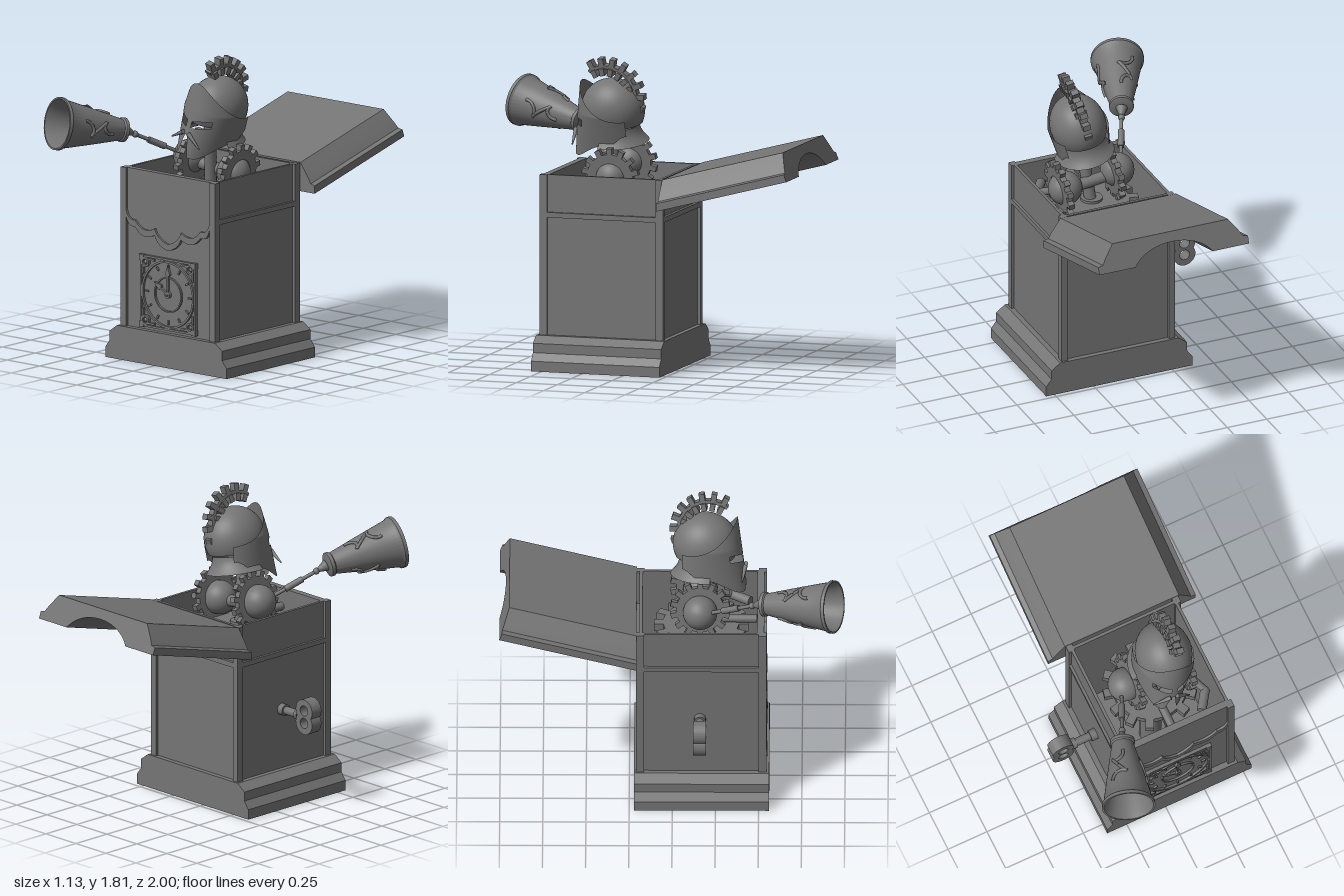
import * as THREE from 'three';
import { toCreasedNormals } from 'three/addons/utils/BufferGeometryUtils.js';

const mat = new THREE.MeshStandardMaterial({ color: 0x757575 });
const thin = new THREE.MeshStandardMaterial({ color: 0x757575, side: THREE.DoubleSide });
const V = (x, y, z) => new THREE.Vector3(x, y, z);
const CX = 0.088, CZ = 0.167; // centre of the box

function add(parent, name, geo, x = 0, y = 0, z = 0, m = mat) {
  const mesh = new THREE.Mesh(geo, m);
  mesh.name = name;
  mesh.position.set(x, y, z);
  parent.add(mesh);
  return mesh;
}
const box = (parent, name, w, h, d, x, y, z) => add(parent, name, new THREE.BoxGeometry(w, h, d), x, y, z);
const shapeOf = pts => new THREE.Shape(pts.map(p => new THREE.Vector2(p[0], p[1])));
const extrude = (shape, depth, curveSegments = 16) =>
  toCreasedNormals(new THREE.ExtrudeGeometry(shape, { depth, bevelEnabled: false, curveSegments }), 0.5);
const mirrored = half => [...half.map(([x, y]) => [-x, y]), ...half.slice().reverse()];

// Cylinder running between two points
function rod(parent, name, a, b, r0, r1 = r0) {
  const d = b.clone().sub(a);
  const mesh = add(parent, name, new THREE.CylinderGeometry(r1, r0, d.length(), 16));
  mesh.position.copy(a).addScaledVector(d, 0.5);
  mesh.quaternion.setFromUnitVectors(V(0, 1, 0), d.normalize());
}

// Square-toothed gear, whole or an arc of one, centred on its thickness
function gear(n, inner, root, outer, depth, a0 = 0, a1 = Math.PI * 2) {
  const pts = [], step = (a1 - a0) / n, whole = a1 - a0 > 6.2;
  for (let i = 0; i < n; i++) {
    [[0, root], [0.25, root], [0.29, outer], [0.71, outer], [0.75, root], [1, root]].forEach(([f, r], k) => {
      if (k === 5 && (whole || i < n - 1)) return;
      const a = a0 + (i + f) * step;
      pts.push([r * Math.cos(a), r * Math.sin(a)]);
    });
  }
  if (!whole) for (let i = 24; i >= 0; i--) {
    const a = a0 + (a1 - a0) * i / 24;
    pts.push([inner * Math.cos(a), inner * Math.sin(a)]);
  }
  const s = shapeOf(pts);
  if (whole) s.holes.push(new THREE.Path().absarc(0, 0, inner, 0, Math.PI * 2, true));
  return extrude(s, depth).translate(0, 0, -depth / 2);
}

function ring(outer, inner, depth) {
  const s = new THREE.Shape().absarc(0, 0, outer, 0, Math.PI * 2);
  s.holes.push(new THREE.Path().absarc(0, 0, inner, 0, Math.PI * 2, true));
  return extrude(s, depth, 32);
}

// Open surface over a grid; cells where hole(u, v) is true are left out
function sheet(nu, nv, point, hole = () => false) {
  const pos = [], idx = [];
  for (let j = 0; j <= nv; j++) for (let i = 0; i <= nu; i++) pos.push(...point(i / nu, j / nv));
  for (let j = 0; j < nv; j++) for (let i = 0; i < nu; i++) {
    if (hole((i + 0.5) / nu, (j + 0.5) / nv)) continue;
    const a = j * (nu + 1) + i, b = a + nu + 1;
    idx.push(a, b, a + 1, a + 1, b, b + 1);
  }
  const g = new THREE.BufferGeometry();
  g.setAttribute('position', new THREE.Float32BufferAttribute(pos, 3));
  g.setIndex(idx);
  g.computeVertexNormals();
  return g;
}

// Stepped plinth with a recessed underside
function buildBase(root) {
  const outline = mirrored([[0.464, 0], [0.464, 0.06], [0.43, 0.105], [0.43, 0.16], [0.375, 0.2]]);
  const recess = mirrored([[0.445, 0], [0.445, 0.055], [0.415, 0.09]]).reverse();
  add(root, 'base', extrude(shapeOf([...outline, ...recess]), 0.784), CX, 0, -0.223);
  for (const z of [-0.223, 0.543]) add(root, 'baseEnd', extrude(shapeOf(outline), 0.018), CX, 0, z);
}

function buildBox(root) {
  const g = new THREE.Group();
  g.name = 'box';
  g.position.set(CX, 0, CZ);
  root.add(g);
  for (const sx of [-1, 1]) {
    for (const sz of [-1, 1]) box(g, 'cornerPost', 0.04, 0.94, 0.045, sx * 0.341, 0.67, sz * 0.355);
    box(g, 'sidePanel', 0.018, 0.94, 0.7, sx * 0.335, 0.67, 0);
    box(g, 'sideRail', 0.03, 0.03, 0.68, sx * 0.345, 0.905, 0);
  }
  box(g, 'frontPanel', 0.66, 0.94, 0.035, 0, 0.67, 0.342);
  box(g, 'backPanel', 0.66, 0.94, 0.018, 0, 0.67, -0.35);
  box(g, 'backRail', 0.66, 0.03, 0.03, 0, 0.905, -0.362);

  // Scalloped curtain and its border
  const scallops = (s, dy) => {
    s.lineTo(-0.32, 0.86 + dy);
    for (const [cx, cy, x, y] of [[-0.305, 0.79, -0.25, 0.80], [-0.19, 0.72, -0.1, 0.77],
      [-0.08, 0.71, 0, 0.69], [0.08, 0.71, 0.1, 0.77], [0.19, 0.72, 0.25, 0.80], [0.305, 0.79, 0.32, 0.86]])
      s.quadraticCurveTo(cx, cy + dy, x, y + dy);
  };
  const curtain = new THREE.Shape().moveTo(-0.32, 1.14);
  scallops(curtain, 0);
  curtain.lineTo(0.32, 1.14);
  add(g, 'curtain', extrude(curtain, 0.01), 0, 0, 0.355);
  const low = new THREE.Shape(), high = new THREE.Shape();
  scallops(low, 0);
  scallops(high, 0.04);
  const border = new THREE.Shape([...low.getPoints(8).slice(1), ...high.getPoints(8).slice(1).reverse()]);
  add(g, 'curtainBorder', extrude(border, 0.024), 0, 0, 0.355);
}

function buildClock(root) {
  const g = new THREE.Group();
  g.name = 'clock';
  g.position.set(CX, 0.43, 0.525);
  root.add(g);
  box(g, 'clockPlate', 0.41, 0.41, 0.01, 0, 0, 0.003);
  for (const s of [-1, 1]) {
    box(g, 'clockFrame', 0.43, 0.012, 0.02, 0, s * 0.207, 0.01);
    box(g, 'clockFrame', 0.012, 0.43, 0.02, s * 0.207, 0, 0.01);
    for (const t of [-1, 1]) {
      add(g, 'cornerOrnament', ring(0.03, 0.018, 0.024), s * 0.172, t * 0.172);
      box(g, 'cornerStud', 0.034, 0.034, 0.028, s * 0.198, t * 0.198, 0.011);
      box(g, 'cornerScroll', 0.055, 0.012, 0.024, s * 0.13, t * 0.19, 0.011);
      box(g, 'cornerScroll', 0.012, 0.055, 0.024, s * 0.19, t * 0.13, 0.011);
      add(g, 'cornerBead', new THREE.SphereGeometry(0.013, 12, 8), s * 0.172, t * 0.172, 0.012);
    }
  }
  add(g, 'dialRim', ring(0.2, 0.188, 0.022));
  add(g, 'dialInnerRing', ring(0.105, 0.097, 0.02));
  for (let i = 0; i < 12; i++) {
    const a = i * Math.PI / 6;
    box(g, 'hourMark', 0.01, 0.025, 0.014, Math.sin(a) * 0.165, Math.cos(a) * 0.165, 0.012).rotation.z = -a;
  }
  for (const [len, a] of [[0.17, 0], [0.12, 1.0]]) {
    const hand = shapeOf([[-0.005, 0], [0.005, 0], [0.005, len - 0.06], [0.018, len - 0.05], [0, len],
      [-0.018, len - 0.05], [-0.005, len - 0.06]]);
    add(g, 'clockHand', extrude(hand, 0.018), 0, 0, 0.006).rotation.z = a;
  }
  add(g, 'handPivot', ring(0.02, 0.009, 0.027));
}

function buildLid(root) {
  // Stepped section with an arch cut in its underside
  const s = shapeOf([[0.245, 0], [0.475, 0], [0.475, 0.045], [0.445, 0.052], [0.425, 0.085],
    [0.367, 0.165], [-0.367, 0.165], [-0.425, 0.085], [-0.445, 0.052], [-0.475, 0.045],
    [-0.475, 0], [-0.245, 0]]);
  s.bezierCurveTo(-0.15, 0.14, 0.15, 0.14, 0.245, 0);
  const geo = new THREE.ExtrudeGeometry(s, { depth: 0.822, bevelEnabled: false, curveSegments: 24 });
  // The hinge end is plumb and the free end leans inwards
  const p = geo.attributes.position;
  for (let i = 0; i < p.count; i++)
    p.setZ(i, p.getZ(i) > 0.4 ? -0.264 * p.getY(i) : -0.822 + 0.1 * p.getY(i));
  add(root, 'lid', toCreasedNormals(geo, 0.5), CX, 0.974, -0.208).rotation.x = 0.258;
}

function buildKey(root) {
  rod(root, 'keyShaft', V(-0.25, 0.56, 0.16), V(-0.43, 0.56, 0.16), 0.024);
  rod(root, 'keyCollar', V(-0.25, 0.56, 0.16), V(-0.295, 0.56, 0.16), 0.034);
  rod(root, 'keyNeck', V(-0.385, 0.56, 0.16), V(-0.41, 0.56, 0.16), 0.032);
  // Figure-of-eight handle
  const c = 0.038, r = 0.068, a = Math.asin(c / r);
  const s = new THREE.Shape().absarc(0, c, r, -a, Math.PI + a).absarc(0, -c, r, Math.PI - a, Math.PI * 2 + a);
  for (const y of [c, -c]) s.holes.push(new THREE.Path().absarc(0, y, 0.031, 0, Math.PI * 2, true));
  add(root, 'keyHandle', extrude(s, 0.075, 28), -0.482, 0.571, 0.122);
}

function buildFigure(root) {
  // Shoulder gears on balls, and the turntable gear below
  for (const [x, y, tilt, dx] of [[-0.07, 1.17, -0.15, 0.04], [0.26, 1.12, -0.12, 0.035]]) {
    add(root, 'shoulderBall', new THREE.SphereGeometry(0.1, 28, 20), x, y, 0.16);
    const gr = add(root, 'shoulderGear', gear(14, 0.085, 0.14, 0.175, 0.035).rotateY(Math.PI / 2), x + dx, y, 0.16);
    gr.rotation.z = tilt;
  }
  add(root, 'turntableGear', gear(14, 0.06, 0.22, 0.275, 0.05).rotateX(Math.PI / 2), CX, 0.98, 0.165);
  rod(root, 'column', V(CX, 0.19, 0.17), V(CX, 1.02, 0.17), 0.065);
  rod(root, 'shoulderBar', V(-0.07, 1.15, 0.16), V(0.26, 1.11, 0.16), 0.035);
  rod(root, 'neck', V(0.095, 1.0, 0.17), V(0.14, 1.42, 0.23), 0.035);
  rod(root, 'frontPin', V(0.09, 1.03, 0.2), V(0.085, 1.03, 0.49), 0.024);
  rod(root, 'leftUpperArm', V(0.27, 1.1, 0.18), V(0.36, 1.02, 0.35), 0.022);
  rod(root, 'leftForearm', V(0.36, 1.02, 0.34), V(0.285, 1.02, 0.45), 0.028);
}

function buildHelmet(root) {
  const g = new THREE.Group();
  g.name = 'helmet';
  g.position.set(0.165, 1.5, 0.19);
  g.rotation.set(0, -0.08, -0.2);
  root.add(g);
  add(g, 'helmetDome', new THREE.SphereGeometry(1, 32, 20, 0, Math.PI * 2, 0, Math.PI * 0.64)
    .scale(0.163, 0.185, 0.19), 0, 0, 0, thin);

  // Face guard in three bands: peaked brow, eye slots, cheeks parting below the nose
  const step = (e0, e1, x) => THREE.MathUtils.smoothstep(x, e0, e1);
  const mix = THREE.MathUtils.lerp;
  const guard = (u, v) => {
    const a = (u - 0.5) * 4.5, b = Math.abs(a), c = Math.cos(a);
    const top = -0.03 + 0.2 * Math.pow(Math.cos(a / 2), 6);
    const eyeTop = -0.055 + 0.035 * Math.min(b, 0.6), eyeLow = eyeTop - 0.042;
    const low = -0.13 - 0.14 * step(0, 0.32, b) + 0.09 * step(0.5, 1.5, b) + 0.06 * step(1.6, 2.2, b);
    const y = v < 0.4 ? mix(top, eyeTop, v / 0.4) : v < 0.5 ? mix(eyeTop, eyeLow, (v - 0.4) / 0.1)
      : mix(eyeLow, low, (v - 0.5) / 0.5);
    const rx = 0.176 + 0.14 * Math.min(y, 0) - 0.2 * Math.max(y, 0);
    return [rx * Math.sin(a), y, (c > 0 ? 0.21 - 0.15 * y : 0.2) * c];
  };
  const eye = (u, v) => v > 0.4 && v < 0.5 && Math.abs(u - 0.5) > 0.03 && Math.abs(u - 0.5) < 0.18;
  add(g, 'faceGuard', sheet(80, 40, guard, eye), 0, 0, 0, thin);
  for (const s of [-1, 1]) rod(g, 'cheekTip', V(s * 0.02, -0.125, 0.235), V(s * 0.115, -0.19, 0.225), 0.014, 0.004);
  // Flared neck guard
  add(g, 'neckGuard', sheet(28, 5, (u, v) => {
    const a = Math.PI + (u - 0.5) * 3.6, r = 0.15 + 0.05 * v * v;
    return [r * 0.88 * Math.sin(a), -0.09 - 0.1 * v, r * Math.cos(a)];
  }), 0, 0, 0, thin);

  // Crest: toothed arc carried on small blocks
  const crest = new THREE.Group();
  crest.name = 'crest';
  crest.position.set(0, 0.085, 0.02);
  g.add(crest);
  add(crest, 'crestArc', gear(8, 0.168, 0.188, 0.23, 0.045, -0.5, 2.2).rotateY(Math.PI / 2));
  for (let i = 0; i < 8; i++) {
    const a = -0.33 + i * 0.3375;
    box(crest, 'crestBlock', 0.07, 0.045, 0.03, 0, Math.sin(a) * 0.15, -Math.cos(a) * 0.15)
      .rotation.x = a - Math.PI / 2;
  }
}

function buildHorn(root) {
  const a = V(-0.26, 1.355, 0.52), b = V(-0.42, 1.44, 0.94);
  const g = new THREE.Group();
  g.name = 'horn';
  g.position.copy(a);
  g.quaternion.setFromUnitVectors(V(0, 1, 0), b.clone().sub(a).normalize());
  root.add(g);
  const profile = [[0.001, 0], [0.055, 0], [0.072, 0.008], [0.072, 0.028], [0.064, 0.035], [0.095, 0.18], [0.126, 0.33],
    [0.145, 0.425], [0.155, 0.435], [0.155, 0.455], [0.145, 0.455], [0.132, 0.42], [0.106, 0.3], [0.052, 0.04], [0.001, 0.03]];
  add(g, 'hornBell', toCreasedNormals(new THREE.LatheGeometry(profile.map(p => new THREE.Vector2(...p)), 40), 0.6),
    0, 0, 0, thin);
  // Curling vines laid on the bell
  for (const mid of [-1.57, 0.3, 2.6]) for (const s of [-1, 1]) {
    const pts = [];
    for (let i = 0; i <= 18; i++) {
      const f = i / 18, w = f * 7;
      const t = 0.23 + s * (0.1 * f + 0.033 * (1 - 0.6 * f) * Math.sin(w));
      const ang = mid + s * 0.5 * Math.sin(w * 0.7) * (1 - f * 0.4), r = 0.067 + 0.207 * (t - 0.035);
      pts.push(V(r * Math.cos(ang), t, r * Math.sin(ang)));
    }
    add(g, 'hornVine', new THREE.TubeGeometry(new THREE.CatmullRomCurve3(pts), 36, 0.01, 6));
  }
  // Stem from the bell back to the shoulder
  const end = V(-0.11, 1.19, 0.2), at = f => a.clone().lerp(end, f);
  rod(root, 'hornStem', a, end, 0.011);
  rod(root, 'hornSocket', at(0), at(0.14), 0.035, 0.014);
  rod(root, 'hornGrip', at(0.42), at(0.72), 0.019);
  add(root, 'hornBead', new THREE.SphereGeometry(0.02, 14, 10)).position.copy(at(0.18));
}

export function createModel() {
  const root = new THREE.Group();
  root.name = 'clockworkBox';
  for (const build of [buildBase, buildBox, buildClock, buildLid, buildKey, buildFigure, buildHelmet, buildHorn]) build(root);
  return root;
}
